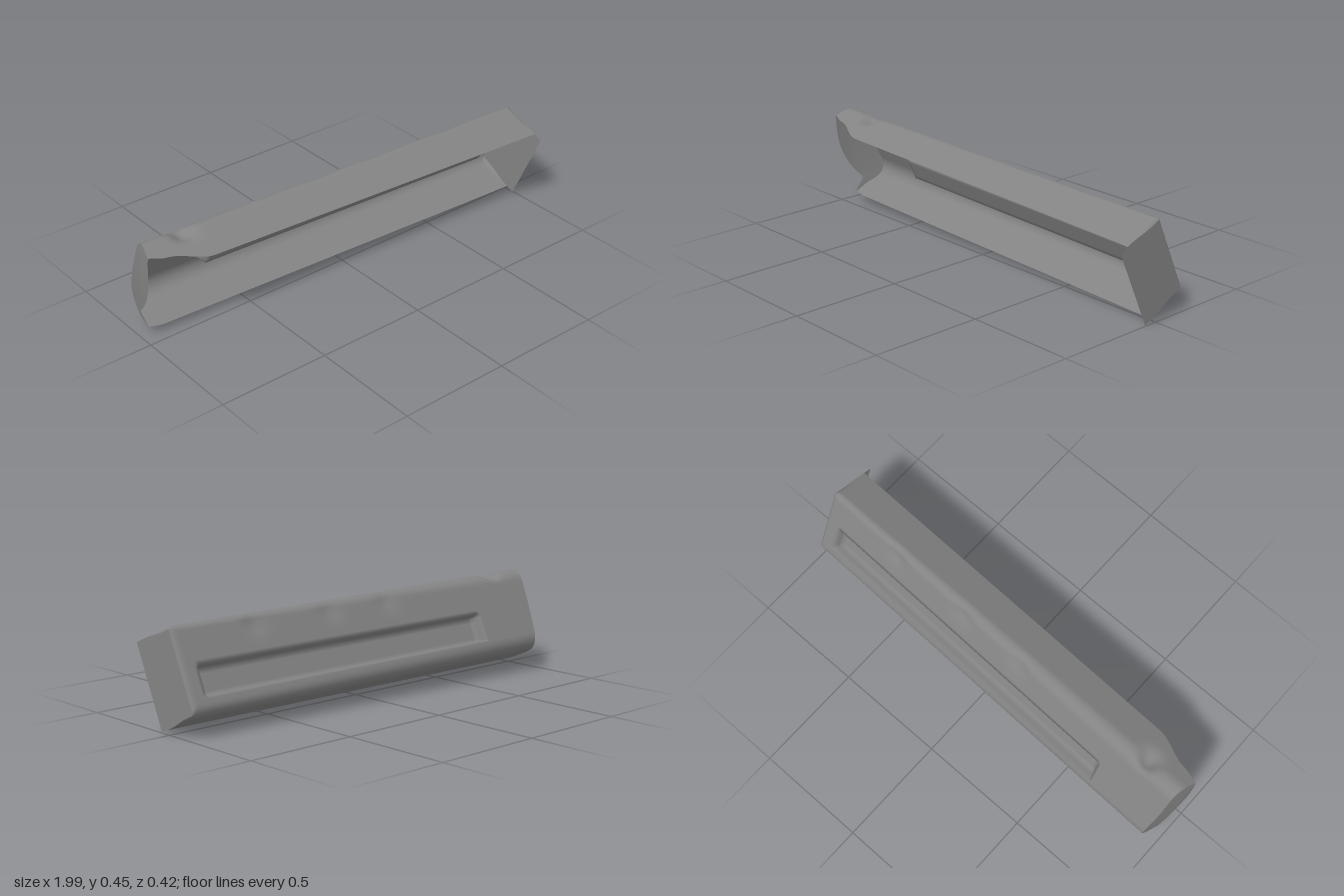
import * as THREE from 'three';

const { lerp, clamp, smoothstep } = THREE.MathUtils;
const U = [0.414, 0.909]; // tilted height axis as (z, y)
const D = [0.909, -0.414]; // tilted depth axis, towards the open side
const RIGHT = 0.995, BEND = -0.9;

const height = (x) => lerp(0.374, 0.39, (1 - x) / 2);
const ramp = (v, a, b, s) => clamp(Math.min(v - a, b - v) / s, 0, 1);
const bell = (v, c, s) => Math.exp(-(((v - c) / s) ** 2));

// Splits the gaps between knots into even steps
function divide(knots, counts) {
  const out = [knots[0]];
  counts.forEach((n, i) => {
    for (let k = 1; k <= n; k++) out.push(lerp(knots[i], knots[i + 1], k / n));
  });
  return out;
}

// Slanted, slightly bowed left end
const leftEnd = (w, h) =>
  -0.97 - 0.03 * Math.min(1, w / 0.12) + 0.035 * (1 - clamp(h / 0.39, 0, 1)) ** 2;

// Local depth w and height h to world space; the section drifts along x
function place(x, w, h) {
  const t = (1 - x) / 2;
  const z = lerp(-0.163, -0.236, t) + w * D[0] + h * U[0];
  const y = lerp(0.096, 0.113, t) + w * D[1] + h * U[1];
  return [x, y, z];
}

// Open channel section, from the bottom lip round the back to the top lip
function section(x, depthTop, depthBottom) {
  const H = height(x), t = (1 - x) / 2;
  const r = lerp(0.045, 0.068, t), R = lerp(0.025, 0.065, t);
  const k = clamp((x - 0.965) / (RIGHT - 0.965), 0, 1);
  const round = 0.012 * (1 - Math.sqrt(1 - k * k));
  const pts = [];
  for (let i = 0; i < 8; i++) pts.push([lerp(depthBottom, r, i / 8), 0]);
  for (let i = 0; i < 8; i++) {
    const a = (i / 8) * Math.PI / 2;
    pts.push([r - r * Math.sin(a), r - r * Math.cos(a)]);
  }
  for (const h of divide([r, 0.073, 0.083, 0.19, 0.203, H - R], [3, 2, 6, 2, 8])) pts.push([0, h]);
  for (let i = 1; i <= 10; i++) {
    const a = (i / 10) * Math.PI / 2;
    pts.push([R - R * Math.cos(a), H - R + R * Math.sin(a)]);
  }
  for (let i = 1; i <= 10; i++) pts.push([lerp(R, depthTop, i / 10), H]);
  // The right edge is rounded at the back, fading out towards the lips
  return pts.map(([w, h]) => {
    const inset = round * (1 - smoothstep(w, 0.05, 0.18));
    return [Math.max(w, inset), clamp(h, inset, H - inset)];
  });
}

// Lip depths: the top lip is cut back in a curve near the left end
const topLip = (x) => 0.197 - 0.065 * smoothstep(-x, 0.74, 0.93) - 0.025 * smoothstep(-x, 0.92, 1);
const bottomLip = (x) => 0.2 - 0.012 * smoothstep(-x, 0.9, 1);

function gridMesh(name, rows) {
  const n = rows[0].length, index = [];
  for (let i = 0; i < rows.length - 1; i++) {
    for (let j = 0; j < n - 1; j++) {
      const a = i * n + j, b = a + n;
      index.push(a, b, a + 1, a + 1, b, b + 1);
    }
  }
  const geo = new THREE.BufferGeometry();
  geo.setAttribute('position', new THREE.Float32BufferAttribute(rows.flat(2), 3));
  geo.setIndex(index);
  geo.computeVertexNormals();
  const mat = new THREE.MeshStandardMaterial({ color: 0x838383, side: THREE.DoubleSide });
  const mesh = new THREE.Mesh(geo, mat);
  mesh.name = name;
  return mesh;
}

function shellRow(x, endMix) {
  const H = height(x);
  return section(x, topLip(x), bottomLip(x)).map(([w, h]) => {
    const px = lerp(x, lerp(BEND, leftEnd(w, h), endMix), endMix > 0 ? 1 : 0);
    // Long recessed groove in the back
    const groove = w > 0.01 ? 0 : Math.min(ramp(px, -0.635, 0.92, 0.015), ramp(h, 0.073, 0.203, 0.01));
    let dw = 0.048 * groove;
    // Shallow dents along the upper back edge
    for (const c of [-0.12, 0.2, 0.6]) dw += 0.011 * bell(px, c, 0.05) * bell(h, H - 0.05, 0.04) * bell(w, 0, 0.04);
    // Thumb scoop in the top
    const scoop = 0.035 * bell(px, -0.8, 0.045) * bell(w, 0.045, 0.04) * smoothstep(h, H - 0.1, H - 0.02);
    return place(px, w + dw, h - scoop);
  });
}

// End panel: the section filled up to a bowed front edge
function endCap(name, pts, xAt, front) {
  const rows = [];
  for (let s = 0; s <= 8; s++) {
    rows.push(pts.map(([w, h]) => {
      const pw = lerp(w, front(h), s / 8);
      return place(xAt(pw, h), pw, h);
    }));
  }
  return gridMesh(name, rows);
}

export function createModel() {
  const group = new THREE.Group();
  group.name = 'channelCover';

  // Long channel with groove and dents
  const xs = divide([RIGHT, 0.965, 0.92, 0.905, -0.62, -0.635, BEND], [5, 3, 2, 100, 2, 30]);
  const rows = xs.map((x) => shellRow(x, 0));
  for (let i = 1; i <= 8; i++) rows.push(shellRow(lerp(BEND, -0.99, i / 8), i / 8));
  group.add(gridMesh('channelShell', rows));

  // Flat right panel, standing slightly proud of the lips
  group.add(endCap('rightEndPanel', section(RIGHT, 0.24, 0.24), () => RIGHT, () => 0.24));

  // Slanted left panel
  const leftFront = (h) => {
    const t = clamp(h / height(-0.99), 0, 1);
    return lerp(bottomLip(-0.99), topLip(-0.99), smoothstep(t, 0, 0.1)) + 0.05 * Math.sin(Math.PI * t);
  };
  group.add(endCap('leftEndPanel', section(-0.99, topLip(-0.99), bottomLip(-0.99)), leftEnd, leftFront));
  return group;
}
